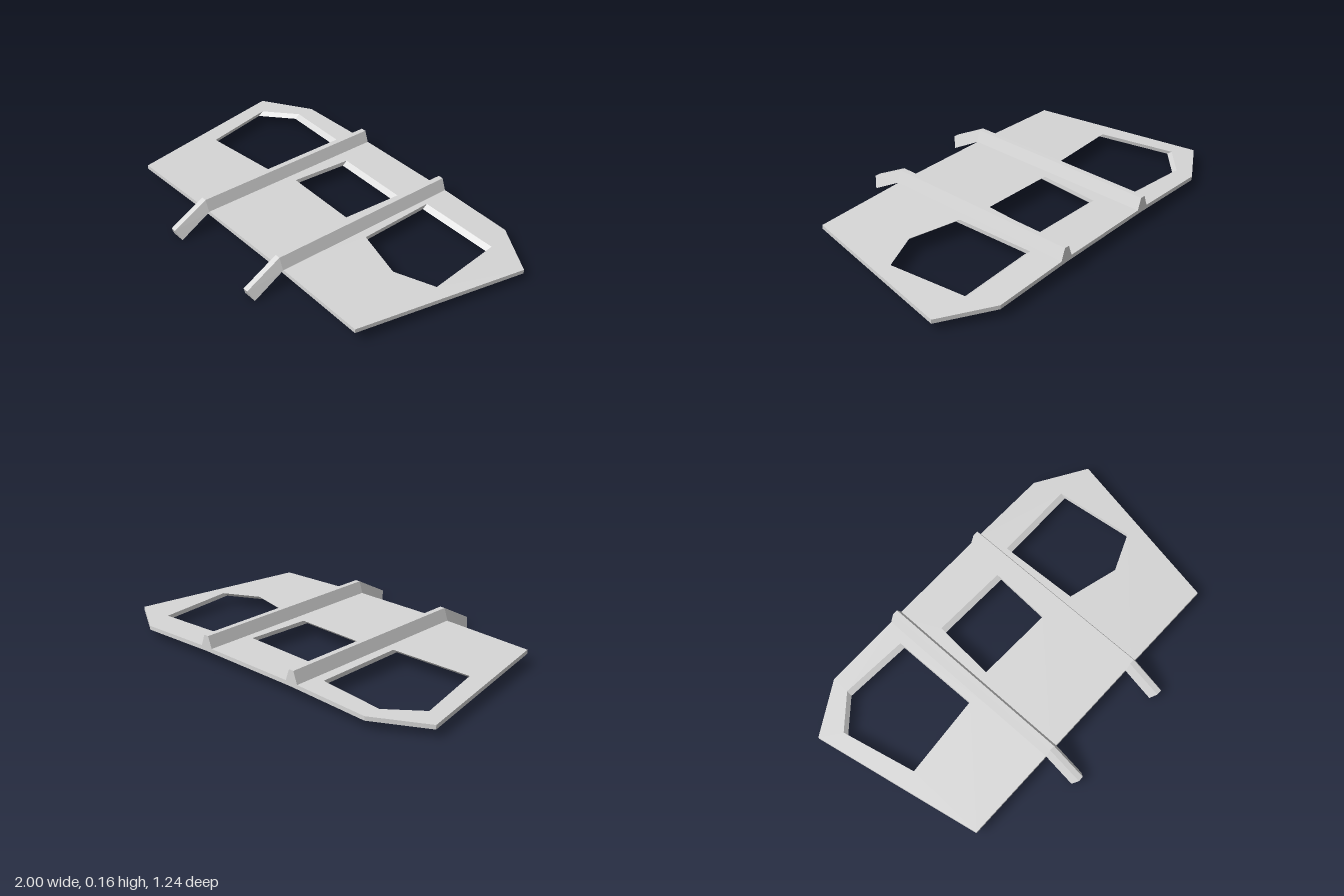
import * as THREE from 'three';

const FRONT = 0.425, BACK = -0.62, SEAM = 0.295, THICK = 0.021, SKEW = 0.026;

// Underside height: tilts down to the back, and down to the tips outside the seams
const underside = (x, z) =>
  0.074 + (z - FRONT) * 0.0143 - Math.max(0, Math.abs(x) - SEAM) * 0.032;

// Points [x, z] as a counter-clockwise loop, so walls of outlines and openings face outwards
function loop(points) {
  const pts = points.map(([x, z]) => new THREE.Vector2(x, -z));
  return THREE.ShapeUtils.isClockWise(pts) ? pts.reverse() : pts;
}

// One panel of the plate, with an opening cut at a slant
function panel(name, outline, hole, material) {
  const shape = new THREE.Shape(loop(outline));
  shape.holes.push(new THREE.Path(loop(hole).reverse()));
  const geo = new THREE.ExtrudeGeometry(shape, { depth: THICK, bevelEnabled: false });
  geo.rotateX(-Math.PI / 2);
  const p = geo.attributes.position;
  for (let i = 0; i < p.count; i++) {
    const x = p.getX(i), y = p.getY(i);
    let z = p.getZ(i);
    const onHole = hole.some(([hx, hz]) => Math.hypot(hx - x, hz - z) < 1e-4);
    if (onHole && y < THICK / 2) z += SKEW;
    p.setXYZ(i, x, y + underside(x, z), z);
  }
  geo.computeVertexNormals();
  const mesh = new THREE.Mesh(geo, material);
  mesh.name = name;
  return mesh;
}

// Bent rail with a trapezoid section, lofted through three stations
function railGeometry() {
  const stations = [ // bottom z, bottom y, top z, top y
    [BACK, 0.078, BACK, 0.14],
    [0.428, 0.093, 0.43, 0.155],
    [0.593, 0, 0.618, 0.055],
  ];
  const base = 0.037, top = 0.014;
  const rings = stations.map(([bz, by, tz, ty]) => [
    [-base, by, bz], [base, by, bz], [top, ty, tz], [-top, ty, tz],
  ]);
  const pos = [];
  const quad = (a, b, c, d) => pos.push(...a, ...b, ...c, ...a, ...c, ...d);
  for (let s = 0; s < rings.length - 1; s++) {
    const r = rings[s], n = rings[s + 1];
    for (let k = 0; k < 4; k++) {
      const j = (k + 1) % 4;
      quad(r[k], r[j], n[j], n[k]);
    }
  }
  const [a, b, c, d] = rings[0];
  quad(d, c, b, a);
  quad(...rings[2]);
  const geo = new THREE.BufferGeometry();
  geo.setAttribute('position', new THREE.Float32BufferAttribute(pos, 3));
  geo.computeVertexNormals();
  return geo;
}

export function createModel() {
  const group = new THREE.Group();
  group.name = 'slottedPlateWithRails';
  const grey = new THREE.MeshStandardMaterial({ color: 0xd6d6d6 });
  grey.name = 'light grey';

  // Plate: flat centre and two drooping wings
  const wing = [[SEAM, BACK], [0.74, BACK], [1, -0.465], [0.825, FRONT], [SEAM, FRONT]];
  const mirrored = wing.map(([x, z]) => [-x, z]);
  const centre = [[-SEAM, BACK], [SEAM, BACK], [SEAM, FRONT], [-SEAM, FRONT]];
  group.add(
    panel('centrePanel', centre,
      [[-0.19, -0.407], [0.213, -0.397], [0.195, -0.07], [-0.213, -0.081]], grey),
    panel('leftWing', wing,
      [[0.357, -0.463], [0.79, -0.47], [0.84, -0.055], [0.64, 0.03], [0.373, -0.04]], grey),
    panel('rightWing', mirrored,
      [[-0.9, -0.39], [-0.74, -0.527], [-0.385, -0.505], [-0.38, -0.035], [-0.81, 0]], grey),
  );

  // Two rails running over the seams and bending down in front
  const railGeo = railGeometry();
  for (const [name, x] of [['leftRail', 0.291], ['rightRail', -0.297]]) {
    const rail = new THREE.Mesh(railGeo, grey);
    rail.name = name;
    rail.position.x = x;
    group.add(rail);
  }
  return group;
}
